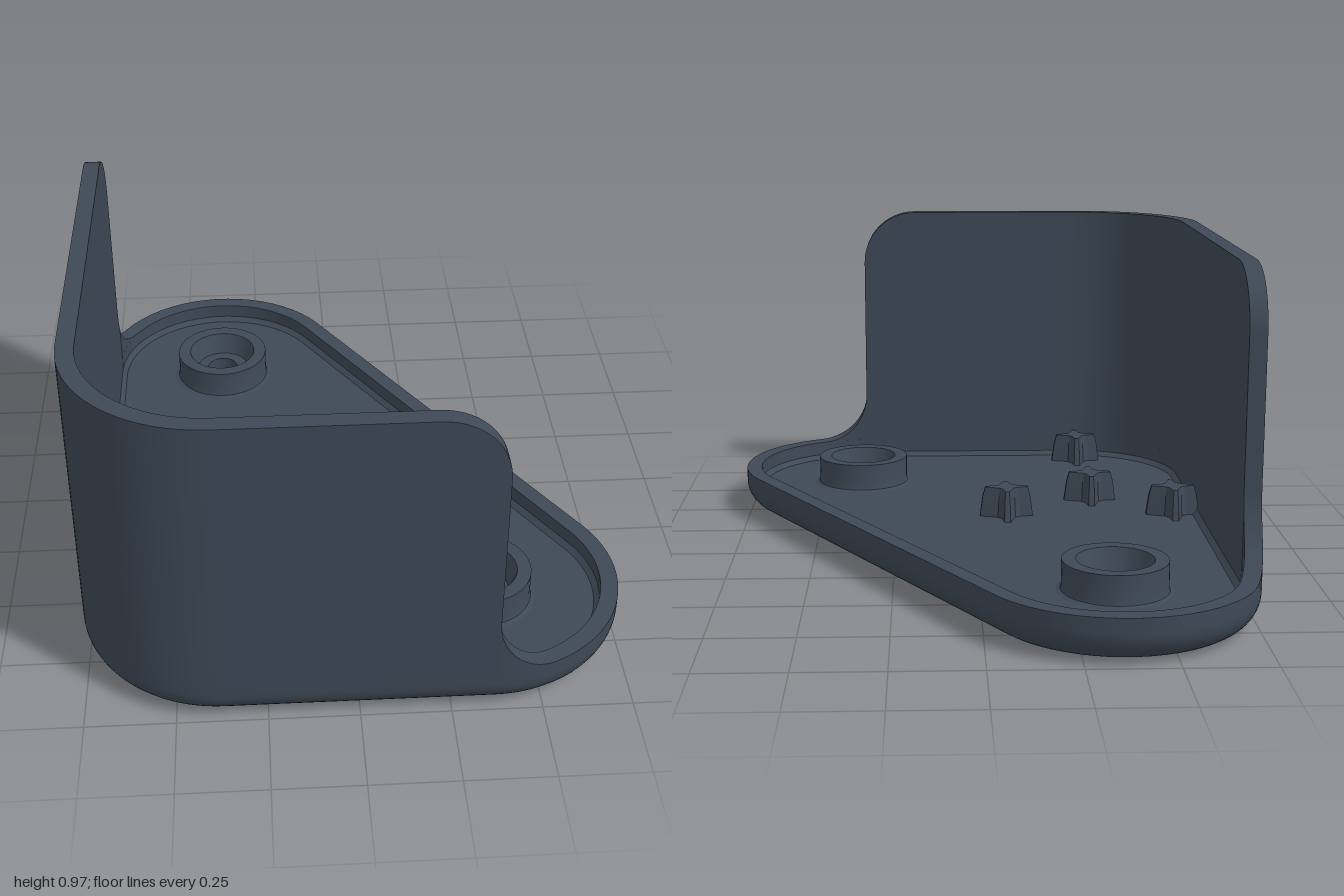
import * as THREE from 'three';
import { mergeGeometries, toCreasedNormals } from 'three/addons/utils/BufferGeometryUtils.js';

const V = (x, y, z) => new THREE.Vector3(x, y, z);

// Corner centres of the rounded triangle (x, z) with their arc ranges
const R = 0.4, RIM = 0.135, FLOOR = 0.075, BOTTOM = 0.003;
const SLANT = Math.atan2(-0.74, 1.2);
const CORNERS = [
  [0.37, 0.6, SLANT, Math.PI / 2],
  [-0.37, 0.6, Math.PI / 2, Math.PI],
  [-0.37, -0.6, Math.PI, Math.PI * 2 + SLANT],
];
const SCREWS = [[-0.37, -0.6], [0.37, 0.6]];

// Rounded-triangle ring with corner radius r at height y
function outline(r, y) {
  const pts = [];
  for (const [cx, cz, a0, a1] of CORNERS) {
    for (let i = 0; i <= 24; i++) {
      const a = a0 + (a1 - a0) * i / 24;
      pts.push(V(cx + r * Math.cos(a), y, cz + r * Math.sin(a)));
    }
  }
  return pts;
}

// Skin through rows of points; closed joins the last column to the first
function loft(rows, closed, crease = 0.6) {
  const pos = [], n = rows[0].length;
  for (let j = 0; j < rows.length - 1; j++) {
    for (let i = 0; i < (closed ? n : n - 1); i++) {
      const k = (i + 1) % n;
      const a = rows[j][i], b = rows[j][k], c = rows[j + 1][i], d = rows[j + 1][k];
      for (const p of [a, c, b, b, c, d]) pos.push(p.x, p.y, p.z);
    }
  }
  const g = new THREE.BufferGeometry();
  g.setAttribute('position', new THREE.Float32BufferAttribute(pos, 3));
  return toCreasedNormals(g, crease);
}

// Flat rounded-triangle face with the two screw holes
function plate(r, y, up) {
  const s = up ? -1 : 1;
  const shape = new THREE.Shape(outline(r, 0).map(p => new THREE.Vector2(p.x, s * p.z)));
  for (const [x, z] of SCREWS) {
    shape.holes.push(new THREE.Path().absarc(x, s * z, 0.05, 0, Math.PI * 2, true));
  }
  return new THREE.ShapeGeometry(shape, 24).rotateX(s * Math.PI / 2).translate(0, y, 0);
}

// Point on the wall path: s = 0 at the front end, s = WALL at the back end
const FRONT = 0.74, BEND = R * Math.PI / 2, WALL = FRONT + BEND + 1.2;
function wallPoint(s, r, y) {
  const arc = (c, a) => V(c[0] + r * Math.cos(a), y, c[1] + r * Math.sin(a));
  if (s < 0) return arc(CORNERS[0], Math.PI / 2 + s / R);
  if (s < FRONT) return V(0.37 - s, y, 0.6 + r);
  if (s < FRONT + BEND) return arc(CORNERS[1], Math.PI / 2 + (s - FRONT) / R);
  if (s < WALL) return V(-0.37 - r, y, 0.6 - (s - FRONT - BEND));
  return arc(CORNERS[2], Math.PI + (s - WALL) / R);
}

// Columns [distance past the wall end, top height] from foot fillet to rounded top
function wallEnd(foot) {
  const cols = [], top = 0.97, round = 0.18, n = 14;
  for (let i = 0; i <= n; i++) {
    const a = i / n * Math.PI / 2;
    cols.push([foot * (1 - Math.sin(a)), RIM + foot * (1 - Math.cos(a))]);
  }
  for (let i = 0; i <= n; i++) {
    const a = i / n * Math.PI / 2;
    cols.push([-round * (1 - Math.cos(a)), top - round * (1 - Math.sin(a))]);
  }
  return cols;
}

function wallGeometry() {
  const cols = wallEnd(0.17).map(([d, y]) => [-d, y]);
  for (let i = 1; i < 8; i++) cols.push([0.18 + (FRONT - 0.18) * i / 8, 0.97]);
  for (let i = 0; i <= 24; i++) cols.push([FRONT + BEND * i / 24, 0.97]);
  for (let i = 1; i < 8; i++) cols.push([FRONT + BEND + 1.02 * i / 8, 0.97]);
  cols.push(...wallEnd(0.22).reverse().map(([d, y]) => [WALL + d, y]));
  const row = (r, high) => cols.map(([s, y]) => wallPoint(s, r, high ? y : RIM));
  return loft([row(R, false), row(R, true), row(R - 0.05, true), row(R - 0.05, false)], false);
}

// Four-armed locating pin, tapering upward
function pinGeometry() {
  const ring = (k, w, y) => {
    const pts = [];
    for (let q = 0; q < 4; q++) {
      const a = q * Math.PI / 2, c = Math.cos(a), s = Math.sin(a);
      for (const [x, z] of [[0.085 * k, -w], [0.085 * k, w], [0.045 * k, w + 0.006], [0.028 * k, 0.028 * k]]) {
        pts.push(V(x * c - z * s, y, x * s + z * c));
      }
    }
    return pts;
  };
  const top = ring(0.8, 0.006, 0.17);
  return loft([ring(1, 0.01, FLOOR), ring(0.9, 0.008, 0.14), top, top.map(() => V(0, 0.17, 0))], true, 0.4);
}

// Round-ended painted stroke on the underside, from (x0, z0) to (x1, z1)
function stroke(x0, z0, x1, z1, w = 0.017) {
  const a = Math.atan2(z1 - z0, x1 - x0), h = Math.PI / 2;
  const shape = new THREE.Shape();
  shape.absarc(x1, z1, w, a - h, a + h, false);
  shape.absarc(x0, z0, w, a + h, a + 3 * h, false);
  return new THREE.ShapeGeometry(shape, 6).rotateX(Math.PI / 2);
}

// Fern strokes as [side, along] start and end; the stem comes first
const FERN = [
  [0, 0, 0.04, 0.54], [0, 0.1, 0.18, 0.28], [0, 0.22, 0.18, 0.4], [0.02, 0.34, 0.12, 0.48],
  [0.01, 0.26, -0.16, 0.43], [0, 0.12, -0.18, 0.3], [0, 0.01, -0.19, 0.13],
];
function fern(x, z, k, count) {
  const at = (s, t) => [x + k * (0.98 * s + 0.15 * t), z + k * (0.15 * s - 0.98 * t)];
  return FERN.slice(0, count).map(([a, b, c, d]) => stroke(...at(a, b), ...at(c, d)));
}

export function createModel() {
  const model = new THREE.Group();
  const slate = new THREE.MeshStandardMaterial({ color: 0x3e4956 });
  slate.name = 'slate';
  const green = new THREE.MeshStandardMaterial({ color: 0x529a7e });
  green.name = 'green';
  const add = (name, geometry, material = slate) => {
    const mesh = new THREE.Mesh(geometry, material);
    mesh.name = name;
    model.add(mesh);
    return mesh;
  };

  // Tray shell: rounded lower edge, rim, and recessed inside edge
  const rows = [];
  for (let i = 0; i <= 10; i++) {
    const a = i / 10 * Math.PI / 2;
    rows.push(outline(0.31 + 0.09 * Math.sin(a), BOTTOM + 0.09 * (1 - Math.cos(a))));
  }
  rows.push(outline(R, RIM), outline(0.35, RIM), outline(0.35, 0.09), outline(0.335, FLOOR));
  add('trayShell', loft(rows, true));
  add('trayFloor', plate(0.335, FLOOR, true));
  add('trayUnderside', plate(0.31, BOTTOM, false));

  // Upright guard around the front and one side
  add('guardWall', wallGeometry());

  // Screw bosses with countersunk through holes
  const profile = [[0.165, FLOOR], [0.153, 0.08], [0.15, 0.09], [0.15, 0.165], [0.11, 0.165],
    [0.085, 0.1], [0.05, 0.1], [0.05, BOTTOM]].map(p => new THREE.Vector2(...p));
  const boss = toCreasedNormals(new THREE.LatheGeometry(profile, 48), 0.5);
  for (const [x, z] of SCREWS) add('screwBoss', boss).position.set(x, 0, z);

  // Locating pins
  const pin = pinGeometry();
  for (const [x, z] of [[-0.64, 0.15], [-0.105, 0.15], [-0.39, 0.33], [-0.39, 0.865]]) {
    add('locatingPin', pin).position.set(x, 0, z);
  }

  // Painted fern pattern on the underside, with loose sprigs near the edges
  const paint = [
    ...fern(-0.08, 0.22, 1, 7), ...fern(-0.49, 0.31, 1, 7), ...fern(-0.3, 0.9, 0.95, 7),
    ...fern(0.17, 0.87, 0.9, 7), ...fern(-0.25, -0.42, 0.8, 5),
  ];
  const sprigs = [
    [0.6, 0.57, -0.04, -0.05], [0.54, 0.67, -0.04, -0.05], [0.56, 0.4, -0.04, -0.05],
    [-0.56, 0.77, 0.04, -0.06], [-0.58, 0.66, 0.04, -0.06],
    [-0.57, -0.52, 0.04, -0.06], [-0.59, -0.62, 0.04, -0.06],
    [0.38, 0.15, -0.02, -0.03], [0.32, 0, -0.05, -0.05],
  ];
  for (const [x, z, dx, dz] of sprigs) paint.push(stroke(x - dx, z - dz, x + dx, z + dz));
  add('fernPattern', mergeGeometries(paint), green);

  return model;
}
